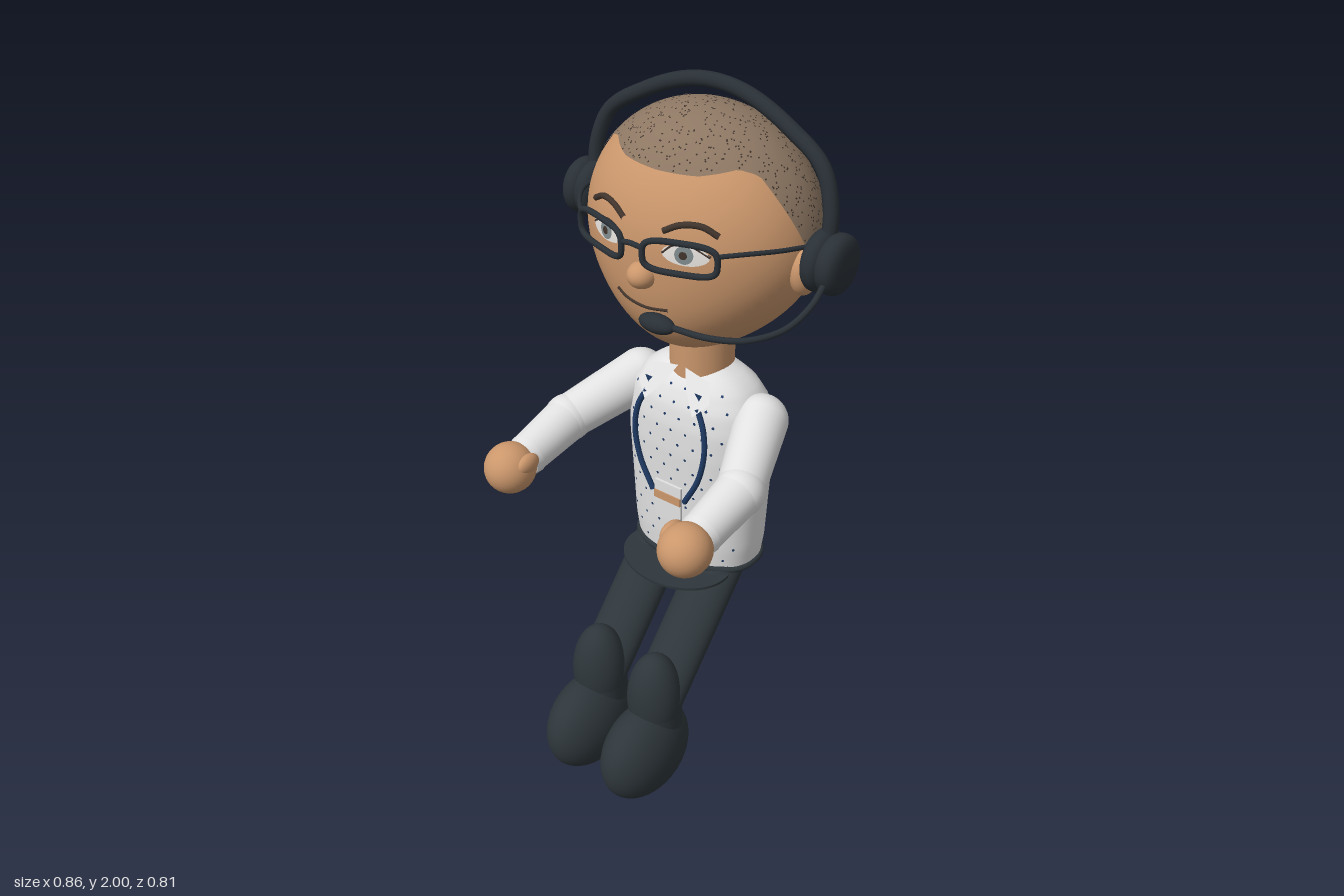
import * as THREE from 'three';
import { mergeGeometries } from 'three/addons/utils/BufferGeometryUtils.js';
import { ParametricGeometry } from 'three/addons/geometries/ParametricGeometry.js';

const mat = (name, color, side = THREE.FrontSide) => {
  const m = new THREE.MeshStandardMaterial({ color, side });
  m.name = name;
  return m;
};
const V = (x, y, z) => new THREE.Vector3(x, y, z);

// Linear interpolation in a table of [key, value] pairs
function lerpTable(table, k) {
  for (let i = 1; i < table.length; i++) {
    const [k0, v0] = table[i - 1], [k1, v1] = table[i];
    if (k <= k1) return v0 + (v1 - v0) * Math.max(0, (k - k0) / (k1 - k0));
  }
  return table[table.length - 1][1];
}

// Egg-shaped head: a = angle from the front, t = angle from the crown
function headAt(a, t, grow = 1) {
  const low = Math.max(0, -Math.cos(t)) ** 2, s = Math.sin(t) * grow, c = Math.cos(a);
  return V(
    0.325 * Math.sin(a) * s * (1 - 0.25 * low),
    1.63 + (Math.cos(t) > 0 ? 0.31 : 0.33) * Math.cos(t) * grow,
    -0.15 + c * s * (c > 0 ? 0.26 * (1 + 0.3 * low) : 0.25 * (1 - 0.2 * low)));
}
// Depth of the face at a given x and y
function faceZ(x, y) {
  const cy = (y - 1.63) / (y > 1.63 ? 0.31 : 0.33), low = Math.max(0, -cy) ** 2;
  const s = Math.sqrt(1 - cy * cy), sa = x / (0.325 * s * (1 - 0.25 * low));
  return -0.15 + Math.sqrt(Math.max(0, 1 - sa * sa)) * s * 0.26 * (1 + 0.3 * low);
}
const HAIRLINE = [[0, 0.88], [0.45, 0.87], [0.88, 0.8], [1.1, 0.86], [1.32, 1.25], [1.45, 1.48], [1.6, 1.54], [2.2, 1.58], [3.15, 1.63]];

// Torso: rounded oval sections
const TORSO = [[0.63, 0.19], [0.7, 0.2], [0.85, 0.208], [1, 0.217], [1.08, 0.215], [1.14, 0.2], [1.19, 0.165], [1.22, 0.125], [1.237, 0.085]];
function torsoAt(a, y) {
  const s = Math.sin(a), c = Math.cos(a), p = 2.4;
  const r = lerpTable(TORSO, y) * (Math.abs(s) ** p + Math.abs(c) ** p) ** (-1 / p);
  return V(r * s, y, -0.145 + r * c * 0.63);
}

// Smooth surface from f(angle, v)
function surface(f, nu, nv) {
  const g = new ParametricGeometry((u, v, out) => out.copy(f((u - 0.5) * 2 * Math.PI, v)), nu, nv);
  g.computeVertexNormals();
  return g;
}
// Small flat dots laid on a surface f(a, b)
function dots(f, places, r, sides) {
  return mergeGeometries(places.map(([a, b]) => {
    const p = f(a, b);
    const n = f(a + 0.01, b).sub(p).cross(f(a, b + 0.005).sub(p)).normalize();
    const out = V(p.x, 0, p.z + 0.145);
    if (n.dot(out) < 0) n.negate();
    const g = new THREE.CircleGeometry(r, sides);
    g.applyQuaternion(new THREE.Quaternion().setFromUnitVectors(V(0, 0, 1), n));
    const q = p.addScaledVector(n, 0.003);
    return g.translate(q.x, q.y, q.z);
  }));
}
const tube = (pts, r, closed = false, n = 48) =>
  new THREE.TubeGeometry(new THREE.CatmullRomCurve3(pts.map(p => V(...p)), closed), n, r, 10, closed);

export function createModel() {
  const root = new THREE.Group();
  const skin = mat('skin', 0xcb976c), stubble = mat('stubble', 0x8d7763), ink = mat('dark brown', 0x40342c);
  const shirt = mat('shirt white', 0xe2e2e2, THREE.DoubleSide), trousers = mat('trousers', 0x2e363b);
  const black = mat('headset black', 0x293036), navy = mat('navy', 0x1f3a63, THREE.DoubleSide);
  const white = mat('eye white', 0xe9e4de), iris = mat('iris grey', 0x7f8a8c);

  const add = (name, geo, material, x = 0, y = 0, z = 0) => {
    const m = new THREE.Mesh(geo, material);
    m.name = name;
    m.position.set(x, y, z);
    root.add(m);
    return m;
  };
  const ball = (name, material, c, r) => {
    const m = add(name, new THREE.SphereGeometry(1, 36, 24), material, ...c);
    m.scale.set(...r);
    return m;
  };
  const limb = (name, material, a, b, ra, rb) => {
    const d = V(...b).sub(V(...a));
    const m = add(name, new THREE.CylinderGeometry(rb, ra, d.length(), 32), material);
    m.position.copy(V(...a)).addScaledVector(d, 0.5);
    m.quaternion.setFromUnitVectors(V(0, 1, 0), d.normalize());
    return m;
  };
  // Oval painted on the face
  const faceOval = (name, material, x, y, rx, ry, lift) => {
    const g = new THREE.RingGeometry(0, 1, 28, 4).scale(rx, ry, 1).translate(x, y, 0);
    const p = g.attributes.position;
    for (let i = 0; i < p.count; i++) p.setZ(i, faceZ(p.getX(i), p.getY(i)) + lift);
    g.computeVertexNormals();
    add(name, g, material);
  };
  const faceLine = (name, material, pts, r) =>
    add(name, tube(pts.map(([x, y]) => [x, y, faceZ(x, y) + 0.001]), r, false, 20), material);

  // Head with cropped hair
  add('head', surface((a, v) => headAt(a, Math.PI * (1 - v)), 72, 48), skin);
  add('hair', surface((a, v) => headAt(a, lerpTable(HAIRLINE, Math.abs(a)) * (1 - v), 1.008), 96, 28), stubble);
  let seed = 7;
  const rand = () => (seed = (seed * 16807) % 2147483647) / 2147483647;
  const stubs = [];
  while (stubs.length < 1300) {
    const a = (rand() * 2 - 1) * Math.PI, t = Math.acos(1 - rand() * 1.06);
    if (t > 0.03 && t < lerpTable(HAIRLINE, Math.abs(a)) - 0.01) stubs.push([a, t]);
  }
  add('hairStubble', dots((a, t) => headAt(a, t, 1.008), stubs, 0.0028, 4), ink);
  ball('nose', skin, [0, 1.575, 0.105], [0.038, 0.035, 0.042]);
  faceLine('mouth', ink, [[-0.09, 1.507], [-0.06, 1.492], [0, 1.484], [0.07, 1.492]], 0.004);
  limb('neck', skin, [0, 1.15, -0.145], [0, 1.36, -0.145], 0.088, 0.088);

  // Torso, hem and waist
  add('torso', surface((a, v) => torsoAt(a, 0.63 + 0.607 * v), 72, 40), shirt);
  add('torsoBase', surface((a, v) => torsoAt(a, 0.63).sub(V(0, 0.63, -0.145)).multiplyScalar(1 - v).add(V(0, 0.63, -0.145)), 48, 2), shirt);
  const ring = Array.from({ length: 32 }, (_, i) => torsoAt(i * Math.PI / 16, 0.633).toArray());
  add('waistband', tube(ring, 0.01, true, 96), trousers);
  const flap = add('waistFlap', new THREE.CylinderGeometry(1, 1, 0.008, 48), trousers, 0, 0.622, -0.04);
  flap.scale.set(0.17, 1, 0.13);
  flap.rotation.x = 0.05;

  // Printed dots on the front and back of the shirt
  const print = [];
  for (let row = 0; row < 14; row++) {
    for (let i = -4; i <= 4; i++) {
      const x = (i + (row % 2) / 2) * 0.047, y = 0.67 + row * 0.04;
      const s = x / lerpTable(TORSO, y);
      if (Math.abs(s) < 0.9) print.push([Math.asin(s), y], [Math.PI - Math.asin(s), y]);
    }
  }
  add('shirtDots', dots(torsoAt, print, 0.0045, 5), navy);

  // Badge hanging on the lanyard
  add('badge', new THREE.BoxGeometry(0.09, 0.12, 0.008), shirt, 0, 0.84, 0.003);
  add('badgeStripe', new THREE.BoxGeometry(0.09, 0.025, 0.004), skin, 0, 0.855, 0.008);

  for (const s of [-1, 1]) {
    // Collar flap with a small inner print
    const flapShape = new THREE.Shape([[0.012, 1.245], [0.1, 1.232], [0.118, 1.185], [0.08, 1.145], [0.035, 1.2]].map(([x, y]) => new THREE.Vector2(s * x, y)));
    const collar = new THREE.ShapeGeometry(flapShape), p = collar.attributes.position;
    for (let i = 0; i < p.count; i++) p.setZ(i, 0.005 - (p.getY(i) - 1.145) * 0.6);
    collar.computeVertexNormals();
    add('collar', collar, shirt);
    const mark = new THREE.Shape([[0.07, 1.205], [0.095, 1.205], [0.085, 1.185]].map(([x, y]) => new THREE.Vector2(s * x, y)));
    add('collarMark', new THREE.ShapeGeometry(mark), navy, 0, 0, -0.018);

    // Lanyard strap
    add('lanyard', tube([[s * 0.085, 1.165, -0.012], [s * 0.11, 1.11, -0.005], [s * 0.118, 1.04, 0], [s * 0.1, 0.95, 0.002], [s * 0.055, 0.86, 0.002]], 0.008), navy);

    // Arm
    const shoulder = [s * 0.205, 1.115, -0.135], elbow = [s * 0.292, 1.04, 0.08], wrist = [s * 0.293, 1.003, 0.25];
    ball('shoulder', shirt, shoulder, [0.073, 0.073, 0.073]);
    limb('upperArm', shirt, shoulder, elbow, 0.073, 0.063);
    ball('elbow', shirt, elbow, [0.067, 0.067, 0.067]);
    limb('forearm', shirt, elbow, wrist, 0.065, 0.056);
    limb('cuff', shirt, [s * 0.293, 1.004, 0.243], [s * 0.293, 0.999, 0.268], 0.058, 0.054);
    ball('hand', skin, [s * 0.295, 0.995, 0.312], [0.07, 0.07, 0.072]);
    ball('thumb', skin, [s * 0.243, 1.02, 0.3], [0.021, 0.028, 0.04]);

    // Leg and foot
    limb('thigh', trousers, [s * 0.102, 0.645, -0.12], [s * 0.102, 0.31, 0.18], 0.08, 0.08).scale.z = 0.72;
    ball('knee', trousers, [s * 0.102, 0.31, 0.195], [0.08, 0.152, 0.08]);
    limb('shin', trousers, [s * 0.102, 0.18, 0.195], [s * 0.102, 0.31, 0.195], 0.078, 0.078);
    ball('foot', trousers, [s * 0.103, 0.148, 0.244], [0.099, 0.148, 0.162]);

    // Ear, eye and brow
    ball('ear', skin, [s * 0.322, 1.595, -0.125], [0.035, 0.065, 0.05]);
    faceOval('eye', white, s * 0.12, 1.655, 0.058, 0.026, 0.004);
    faceOval('iris', iris, s * 0.12, 1.657, 0.023, 0.023, 0.007);
    faceOval('pupil', ink, s * 0.12, 1.657, 0.01, 0.01, 0.01);
    faceLine('eyelid', ink, [[s * 0.062, 1.652], [s * 0.09, 1.676], [s * 0.13, 1.68], [s * 0.178, 1.656]], 0.004);
    faceLine('eyebrow', ink, [[s * 0.06, 1.705], [s * 0.1, 1.725], [s * 0.15, 1.728], [s * 0.19, 1.708]], 0.008);

    // Spectacle frame and temple
    const rim = Array.from({ length: 24 }, (_, i) => {
      const c = Math.cos(i * Math.PI / 12), n = Math.sin(i * Math.PI / 12);
      const x = Math.sign(c) * Math.abs(c) ** 0.55 * 0.09, y = Math.sign(n) * Math.abs(n) ** 0.55 * 0.04;
      return [s * (0.122 + x), 1.656 + y, 0.116 - x * 0.33];
    });
    add('spectacleRim', tube(rim, 0.008, true, 72), black);
    add('spectacleTemple', tube([[s * 0.21, 1.675, 0.086], [s * 0.26, 1.678, 0.035], [s * 0.305, 1.675, -0.03], [s * 0.338, 1.665, -0.12]], 0.006), black);

    // Headset ear cup made of two rounded discs
    for (const [x, w, r] of [[0.357, 0.032, 0.08], [0.397, 0.034, 0.077]]) {
      const profile = Array.from({ length: 17 }, (_, i) => {
        const t = -Math.PI / 2 + i * Math.PI / 16;
        return new THREE.Vector2(Math.max(0, Math.cos(t)) ** 0.6 * r, Math.sign(t) * Math.abs(Math.sin(t)) ** 0.8 * w);
      });
      add('earCup', new THREE.LatheGeometry(profile, 40), black, s * x, 1.625, -0.145).rotation.z = -s * Math.PI / 2;
    }
  }
  add('spectacleBridge', tube([[-0.034, 1.668, 0.144], [0, 1.674, 0.148], [0.034, 1.668, 0.144]], 0.007, false, 12), black);

  // Headband, boom and microphone
  const half = [[0.365, 1.64, -0.148], [0.363, 1.75, -0.158], [0.325, 1.845, -0.17], [0.22, 1.915, -0.18], [0.1, 1.965, -0.188]];
  add('headband', tube([...half.map(([x, y, z]) => [-x, y, z]), [0, 1.979, -0.19], ...half.reverse()], 0.02, false, 96), black);
  add('microphoneBoom', tube([[0.4, 1.605, -0.1], [0.408, 1.565, -0.02], [0.39, 1.532, 0.06], [0.335, 1.515, 0.13], [0.25, 1.507, 0.165], [0.13, 1.503, 0.173]], 0.008), black);
  ball('microphone', black, [0.1, 1.502, 0.175], [0.052, 0.024, 0.027]);
  return root;
}
